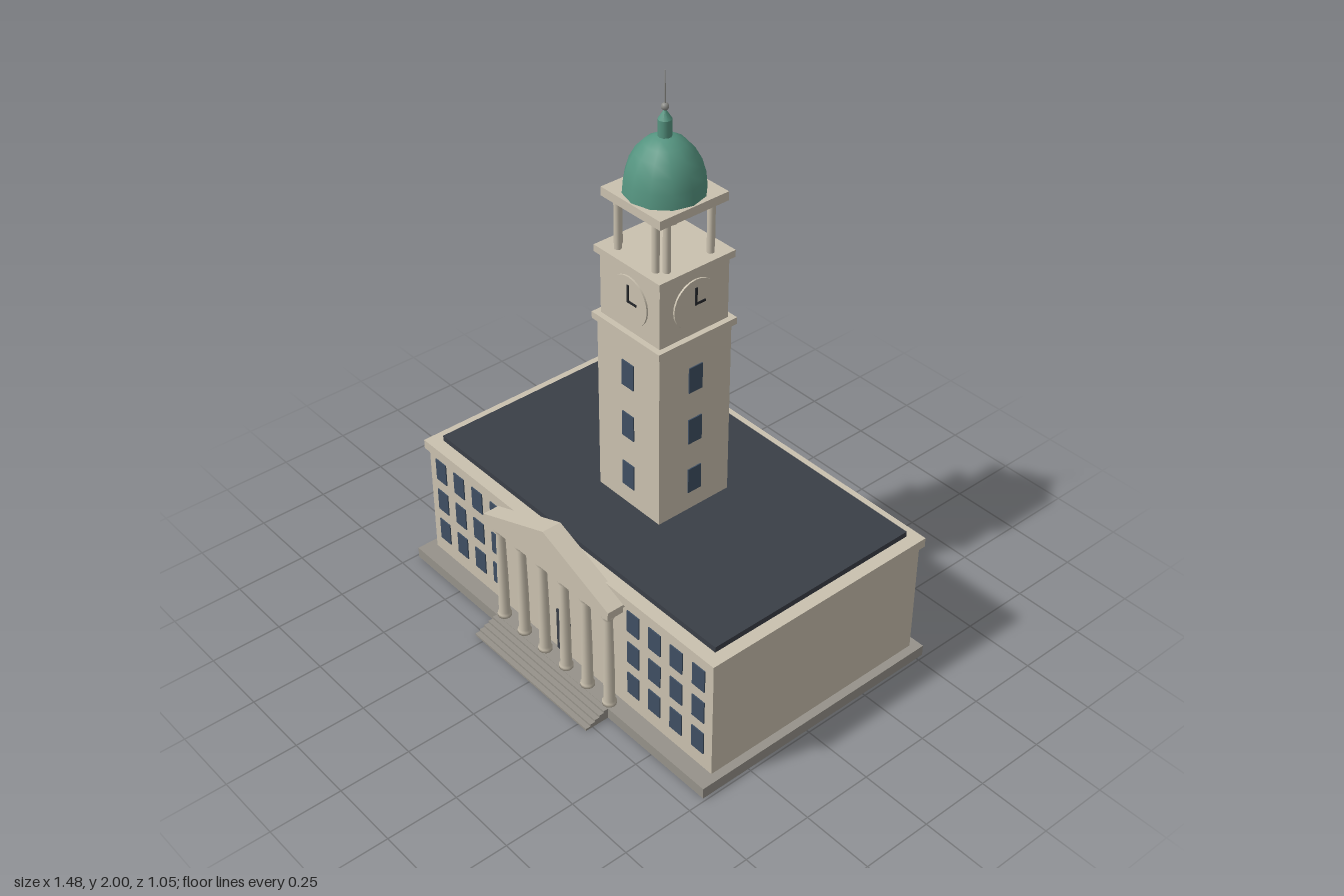
import * as THREE from 'three';

const mat = (name, color) => Object.assign(new THREE.MeshStandardMaterial({ color }), { name });

export function createModel() {
  const stone = mat('stone', 0xcac1af);
  const plinthStone = mat('plinth stone', 0x96928a);
  const slate = mat('roof slate', 0x3a3f47);
  const glass = mat('window glass', 0x3f4f63);
  const copper = mat('dome copper', 0x559480);
  const black = mat('clock black', 0x25272b);
  const metal = mat('spire metal', 0x8c8c88);

  const model = new THREE.Group();
  model.name = 'clockTowerHall';

  const add = (parent, name, geometry, material, x = 0, y = 0, z = 0) => {
    const mesh = new THREE.Mesh(geometry, material);
    mesh.name = name;
    mesh.position.set(x, y, z);
    parent.add(mesh);
    return mesh;
  };
  // Box given by half width, bottom and top, back and front
  const block = (parent, name, material, hx, y0, y1, z0, z1, x = 0) =>
    add(parent, name, new THREE.BoxGeometry(hx * 2, y1 - y0, z1 - z0), material, x, (y0 + y1) / 2, (z0 + z1) / 2);

  // Main hall
  const hall = new THREE.Group();
  hall.name = 'hall';
  model.add(hall);
  block(hall, 'plinth', plinthStone, 0.74, 0, 0.04, -0.527, 0.437);
  block(hall, 'walls', stone, 0.71, 0.04, 0.462, -0.495, 0.377);
  block(hall, 'cornice', stone, 0.722, 0.462, 0.496, -0.507, 0.389);
  block(hall, 'roof', slate, 0.677, 0.496, 0.516, -0.467, 0.342);

  // Facade windows: four columns on each side, three storeys
  for (const side of [-1, 1])
    for (let column = 0; column < 4; column++)
      for (let row = 0; row < 3; row++)
        block(hall, 'facadeWindow', glass, 0.0275, 0.1 + row * 0.128, 0.184 + row * 0.128,
          0.375, 0.381, side * (0.347 + column * 0.1));
  block(hall, 'door', slate, 0.034, 0.04, 0.207, 0.375, 0.382);

  // Entrance steps
  for (let i = 0; i < 5; i++)
    block(hall, 'step', plinthStone, 0.29, 0, 0.0385 - i * 0.0077, 0.42, 0.454 + i * 0.0182);

  // Portico
  const portico = new THREE.Group();
  portico.name = 'portico';
  model.add(portico);
  const columnProfile = [
    [0, 0.04], [0.024, 0.04], [0.024, 0.052], [0.019, 0.058], [0.0185, 0.2],
    [0.015, 0.392], [0.021, 0.405], [0.021, 0.42], [0, 0.42],
  ].map(([r, y]) => new THREE.Vector2(r, y));
  // Repeated profile points keep the rings sharp
  const columnGeometry = new THREE.LatheGeometry(columnProfile, 12);
  for (let i = 0; i < 6; i++)
    add(portico, 'porticoColumn', columnGeometry, stone, -0.2725 + i * 0.109, 0, 0.416);
  block(portico, 'entablature', stone, 0.3, 0.418, 0.462, 0.378, 0.441);
  const gable = new THREE.Shape([
    [-0.314, 0.452], [0.314, 0.452], [0.314, 0.463], [0, 0.585], [-0.314, 0.463],
  ].map(([x, y]) => new THREE.Vector2(x, y)));
  add(portico, 'pediment', new THREE.ExtrudeGeometry(gable, { depth: 0.07, bevelEnabled: false }),
    stone, 0, 0, 0.379);

  // Tower, built around its own axis
  const tower = new THREE.Group();
  tower.name = 'tower';
  tower.position.z = -0.045;
  model.add(tower);
  const storey = (name, half, y0, y1) => block(tower, name, stone, half, y0, y1, -half, half);
  storey('shaft', 0.145, 0.5, 1.152);
  storey('shaftCornice', 0.157, 1.152, 1.176);
  storey('clockStage', 0.137, 1.176, 1.392);
  storey('clockCornice', 0.15, 1.392, 1.416);
  storey('belfryRoof', 0.133, 1.585, 1.615);

  // Windows and clock repeated on each of the four faces
  const dial = new THREE.CylinderGeometry(0.085, 0.085, 0.008, 24).rotateX(Math.PI / 2);
  for (let i = 0; i < 4; i++) {
    const face = new THREE.Group();
    face.name = 'towerFace';
    face.rotation.y = i * Math.PI / 2;
    tower.add(face);
    for (const y of [0.63, 0.823, 1.017])
      block(face, 'towerWindow', glass, 0.027, y - 0.046, y + 0.046, 0.143, 0.149);
    add(face, 'clockDial', dial, stone, 0, 1.285, 0.139);
    block(face, 'minuteHand', black, 0.004, 1.281, 1.342, 0.142, 0.146);
    block(face, 'hourHand', black, 0.019, 1.281, 1.289, 0.142, 0.1455, 0.019);
  }

  // Paired belfry columns at the corners
  const post = new THREE.CylinderGeometry(0.012, 0.012, 0.172, 10);
  for (const sx of [-1, 1])
    for (const sz of [-1, 1])
      for (const [x, z] of [[0.109, 0.086], [0.086, 0.109]])
        add(tower, 'belfryColumn', post, stone, sx * x, 1.5005, sz * z);

  // Dome, lantern and spire
  const domeProfile = [];
  for (let i = 0; i <= 6; i++) {
    const a = i / 6 * Math.PI / 2;
    domeProfile.push(new THREE.Vector2(0.128 * Math.cos(a), 1.614 + 0.182 * Math.sin(a)));
  }
  add(tower, 'dome', new THREE.LatheGeometry(domeProfile, 12), copper);
  add(tower, 'lantern', new THREE.CylinderGeometry(0.022, 0.022, 0.062, 10), copper, 0, 1.815, 0);
  add(tower, 'lanternCap', new THREE.ConeGeometry(0.022, 0.034, 10), copper, 0, 1.863, 0);
  add(tower, 'finialBall', new THREE.SphereGeometry(0.012, 10, 8), metal, 0, 1.885, 0);
  add(tower, 'spire', new THREE.CylinderGeometry(0.0015, 0.0025, 0.125, 6), metal, 0, 1.9375, 0);

  return model;
}
